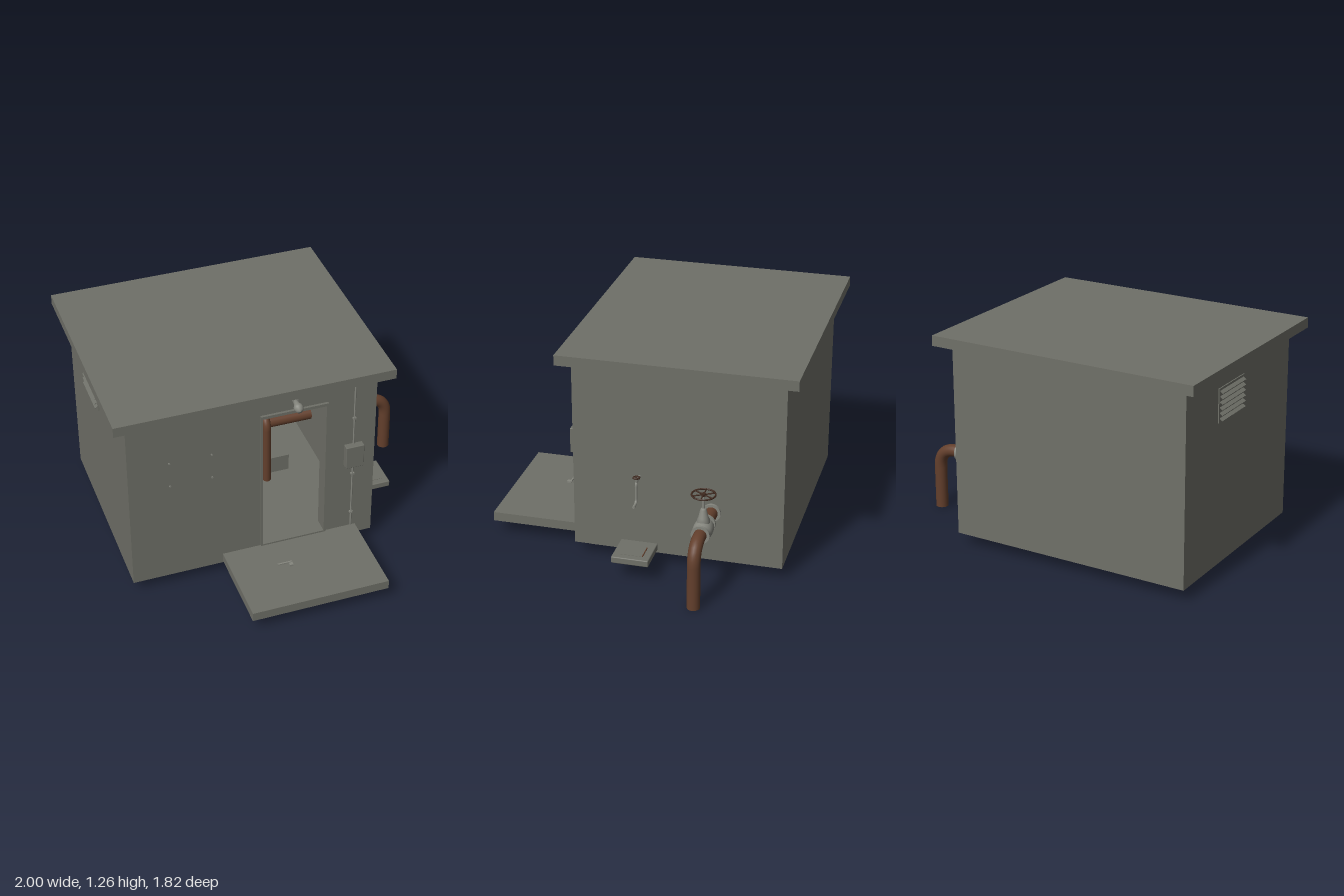
import * as THREE from 'three';
import { RoundedBoxGeometry } from 'three/addons/geometries/RoundedBoxGeometry.js';

const material = (name, color, side = THREE.FrontSide) => {
  const m = new THREE.MeshStandardMaterial({ color, side });
  m.name = name;
  return m;
};

export function createModel() {
  const model = new THREE.Group();
  model.name = 'pumpHouse';
  const concrete = material('concrete', 0x6f7068);
  const steel = material('steel', 0x85867e);
  const rust = material('rust', 0x633f2c);
  const darkRust = material('darkRust', 0x402a1f);
  const V = (x, y, z) => new THREE.Vector3(x, y, z);

  const add = (name, geometry, mat, parent = model) => {
    const mesh = new THREE.Mesh(geometry, mat);
    mesh.name = name;
    parent.add(mesh);
    return mesh;
  };
  // box given by its limits on each axis
  const box = (name, mat, x0, x1, y0, y1, z0, z1, parent) => {
    const m = add(name, new THREE.BoxGeometry(x1 - x0, y1 - y0, z1 - z0), mat, parent);
    m.position.set((x0 + x1) / 2, (y0 + y1) / 2, (z0 + z1) / 2);
    return m;
  };
  // round bar from a to b, with an optional second radius
  const bar = (name, mat, a, b, r, r2 = r, seg = 24, parent = model) => {
    const m = add(name, new THREE.CylinderGeometry(r2, r, a.distanceTo(b), seg), mat, parent);
    m.position.copy(a).lerp(b, 0.5);
    m.quaternion.setFromUnitVectors(V(0, 1, 0), b.clone().sub(a).normalize());
    return m;
  };
  // pipe through points, with each inner corner rounded by the bend length
  const pipe = (name, mat, pts, r, bend, seg = 16) => {
    const path = new THREE.CurvePath();
    let from = pts[0];
    for (let i = 1; i < pts.length - 1; i++) {
      const p = pts[i];
      const a = p.clone().add(pts[i - 1].clone().sub(p).setLength(bend));
      const b = p.clone().add(pts[i + 1].clone().sub(p).setLength(bend));
      path.add(new THREE.LineCurve3(from, a));
      path.add(new THREE.QuadraticBezierCurve3(a, p, b));
      from = b;
    }
    path.add(new THREE.LineCurve3(from, pts[pts.length - 1]));
    const g = new THREE.Group();
    g.name = name;
    model.add(g);
    path.curves.forEach((c, i) =>
      add(name + 'Section' + i, new THREE.TubeGeometry(c, c.isLineCurve3 ? 1 : 10, r, seg), mat, g));
    // end caps
    const cap = (p, next) => {
      const d = p.clone().sub(next).normalize();
      const m = add(name + 'End', new THREE.CircleGeometry(r, seg), mat, g);
      m.position.copy(p);
      m.quaternion.setFromUnitVectors(V(0, 0, 1), d);
    };
    cap(pts[0], pts[1]);
    cap(pts[pts.length - 1], pts[pts.length - 2]);
  };
  // turned body whose axis lies along x, y or z; profile pairs are [radius, distance]
  const turned = (name, mat, profile, pos, axis, seg = 28) => {
    const m = add(name, new THREE.LatheGeometry(profile.map(p => new THREE.Vector2(...p)), seg), mat);
    m.position.copy(pos);
    m.quaternion.setFromUnitVectors(V(0, 1, 0), axis);
    return m;
  };
  const X = V(1, 0, 0), Y = V(0, 1, 0), Z = V(0, 0, 1);

  // hand wheel lying flat
  const handWheel = (name, x, y, z, r, tube, spokes) => {
    const g = new THREE.Group();
    g.name = name;
    g.position.set(x, y, z);
    model.add(g);
    add('rim', new THREE.TorusGeometry(r, tube, 8, 32), darkRust, g).rotation.x = Math.PI / 2;
    bar('hub', darkRust, V(0, -tube * 1.5, 0), V(0, tube * 1.5, 0), r * 0.2, r * 0.2, 12, g);
    for (let i = 0; i < spokes; i++) {
      const a = i * 2 * Math.PI / spokes;
      bar('spoke', darkRust, V(0, 0, 0), V(r * Math.cos(a), 0, r * Math.sin(a)), tube * 0.8, tube * 0.8, 8, g);
    }
  };

  // walls, floor and roof
  const rect = (P, x0, x1, y0, y1) => {
    const p = new P();
    p.moveTo(x0, y0); p.lineTo(x1, y0); p.lineTo(x1, y1); p.lineTo(x0, y1); p.closePath();
    return p;
  };
  const front = rect(THREE.Shape, -0.92, 0.543, 0.07, 1.2);
  front.holes.push(rect(THREE.Path, -0.15, 0.25, 0.14, 1.08));
  add('frontWall', new THREE.ExtrudeGeometry(front, { depth: 0.09, bevelEnabled: false }), concrete).position.z = 0.288;
  box('backWall', concrete, -0.92, 0.545, 0.07, 1.2, -0.835, -0.745);
  box('leftWall', concrete, 0.455, 0.545, 0.07, 1.2, -0.745, 0.288);
  box('rightWall', concrete, -0.92, -0.83, 0.07, 1.2, -0.745, 0.288);
  box('floor', concrete, -0.83, 0.455, 0.075, 0.13, -0.745, 0.288);
  box('roof', concrete, -1, 0.625, 1.2, 1.26, -0.91, 0.45);
  box('wallJoint', concrete, -0.152, -0.148, 0.14, 1.2, 0.376, 0.38);

  // door frame
  for (const [x0, x1, y0, y1] of [[-0.15, -0.138, 0.14, 1.08], [0.238, 0.25, 0.14, 1.08],
    [-0.138, 0.238, 1.062, 1.08], [-0.138, 0.238, 0.14, 0.15]])
    box('doorFrame', concrete, x0, x1, y0, y1, 0.3, 0.393);

  // slab on the ground before the door, with its handle
  box('frontSlab', concrete, -0.38, 0.44, 0.08, 0.135, 0.378, 0.91);
  box('slabHandlePost', steel, -0.05, -0.028, 0.135, 0.146, 0.585, 0.61);
  box('slabHandle', steel, -0.115, -0.028, 0.142, 0.15, 0.579, 0.588);

  // hatch block beside the wall
  const hatch = add('hatchBlock', new RoundedBoxGeometry(0.215, 0.04, 0.215, 2, 0.006), concrete);
  hatch.position.set(0.677, 0.125, -0.015);
  box('hatchLid', concrete, 0.625, 0.745, 0.14, 0.147, -0.078, 0.055);
  box('hatchHinge', rust, 0.64, 0.745, 0.145, 0.15, -0.082, -0.077);

  // lamp over the door, conduit and switch box
  bar('lampMount', steel, V(0.045, 1.16, 0.378), V(0.045, 1.16, 0.41), 0.018);
  turned('lamp', steel, [[0, 0], [0.014, 0], [0.018, 0.03], [0.027, 0.045], [0.027, 0.06], [0.018, 0.078], [0, 0.085]],
    V(0.045, 1.155, 0.405), V(0, -0.2, 1).normalize());
  pipe('conduit', steel, [V(0.05, 1.17, 0.385), V(0.41, 1.17, 0.385), V(0.41, 0.14, 0.385)], 0.005, 0.025, 10);
  for (const y of [0.24, 0.53, 0.93])
    box('conduitClip', steel, 0.4, 0.42, y - 0.006, y + 0.006, 0.378, 0.392);
  add('switchBox', new RoundedBoxGeometry(0.11, 0.15, 0.042, 2, 0.004), concrete).position.set(0.41, 0.675, 0.399);

  // four wall bolts
  for (const x of [-0.68, -0.435]) for (const y of [0.725, 0.885])
    bar('wallBolt', steel, V(x, y, 0.377), V(x, y, 0.384), 0.006, 0.006, 8);

  // louvred vent
  box('ventFrame', concrete, -0.926, -0.92, 0.905, 1.1, -0.48, -0.19);
  for (let i = 0; i < 6; i++) {
    const slat = box('ventSlat', concrete, -0.945, -0.92, -0.002, 0.002, -0.47, -0.2);
    slat.position.y = 0.925 + i * 0.031;
    slat.rotation.z = 0.6;
  }

  // discharge pipe with flanges and elbow
  const py = 0.375, pz = -0.428;
  pipe('dischargePipe', rust, [V(0.12, py, pz), V(0.96, py, pz), V(0.96, 0, pz)], 0.037, 0.12, 24);
  for (const x of [0.553, 0.68, 0.816])
    bar('flange', steel, V(x - 0.007, py, pz), V(x + 0.007, py, pz), 0.053);

  // gate valve
  turned('valveBody', steel, [[0.04, -0.07], [0.04, -0.055], [0.054, -0.035], [0.056, 0], [0.054, 0.035], [0.04, 0.055], [0.04, 0.07]],
    V(0.748, py, pz), X);
  turned('valveBonnet', steel, [[0.036, 0], [0.036, 0.06], [0.028, 0.075], [0.018, 0.12], [0.012, 0.13], [0, 0.13]],
    V(0.748, py, pz), Y);
  bar('valveStem', steel, V(0.748, 0.49, pz), V(0.748, 0.595, pz), 0.008);
  handWheel('valveWheel', 0.748, 0.588, pz, 0.066, 0.005, 6);

  // small tap on the wall
  pipe('tapPipe', steel, [V(0.54, 0.545, -0.012), V(0.622, 0.545, -0.012), V(0.622, 0.415, -0.012), V(0.68, 0.415, -0.012)],
    0.008, 0.028, 12);
  bar('tapStem', steel, V(0.617, 0.54, -0.012), V(0.617, 0.57, -0.012), 0.006);
  handWheel('tapWheel', 0.617, 0.57, -0.012, 0.018, 0.004, 4);

  // plinth inside the house
  box('plinth', concrete, -0.31, 0.25, 0.13, 0.24, -0.62, -0.24);
  box('pumpFoot', steel, 0.04, 0.15, 0.24, 0.29, -0.5, -0.36);
  box('motorFoot', steel, -0.24, -0.04, 0.24, 0.3, -0.49, -0.37);

  // motor with ribs
  turned('motor', steel, [[0, -0.16], [0.06, -0.16], [0.085, -0.14], [0.085, 0.1], [0.06, 0.125], [0, 0.125]],
    V(-0.14, 0.38, pz), X);
  for (const x of [-0.24, -0.2, -0.16, -0.115, -0.065, -0.03])
    bar('motorRib', steel, V(x - 0.006, 0.38, pz), V(x + 0.006, 0.38, pz), 0.094);
  bar('shaft', steel, V(-0.03, 0.38, pz), V(0.05, 0.38, pz), 0.02);

  // pump casing and riser
  turned('pumpCasing', rust, [[0, -0.06], [0.06, -0.06], [0.1, -0.035], [0.11, 0], [0.1, 0.035], [0.06, 0.06], [0, 0.06]],
    V(0.092, 0.38, pz), X);
  pipe('suctionPipe', rust, [V(0.09, 0.13, -0.19), V(0.09, 0.58, -0.19), V(0.09, 0.58, pz), V(0.09, 0.44, pz)], 0.025, 0.07);
  bar('riserFlange', rust, V(0.09, 0.505, pz), V(0.09, 0.519, pz), 0.042);
  bar('riserCollar', steel, V(0.09, 0.58, -0.28), V(0.09, 0.58, -0.33), 0.028);

  // small pipe loop low on the back wall
  pipe('wallLoop', steel, [V(-0.63, 0.42, -0.735), V(-0.63, 0.28, -0.735), V(-0.55, 0.28, -0.735), V(-0.55, 0.42, -0.735)],
    0.008, 0.03, 8);
  return model;
}
